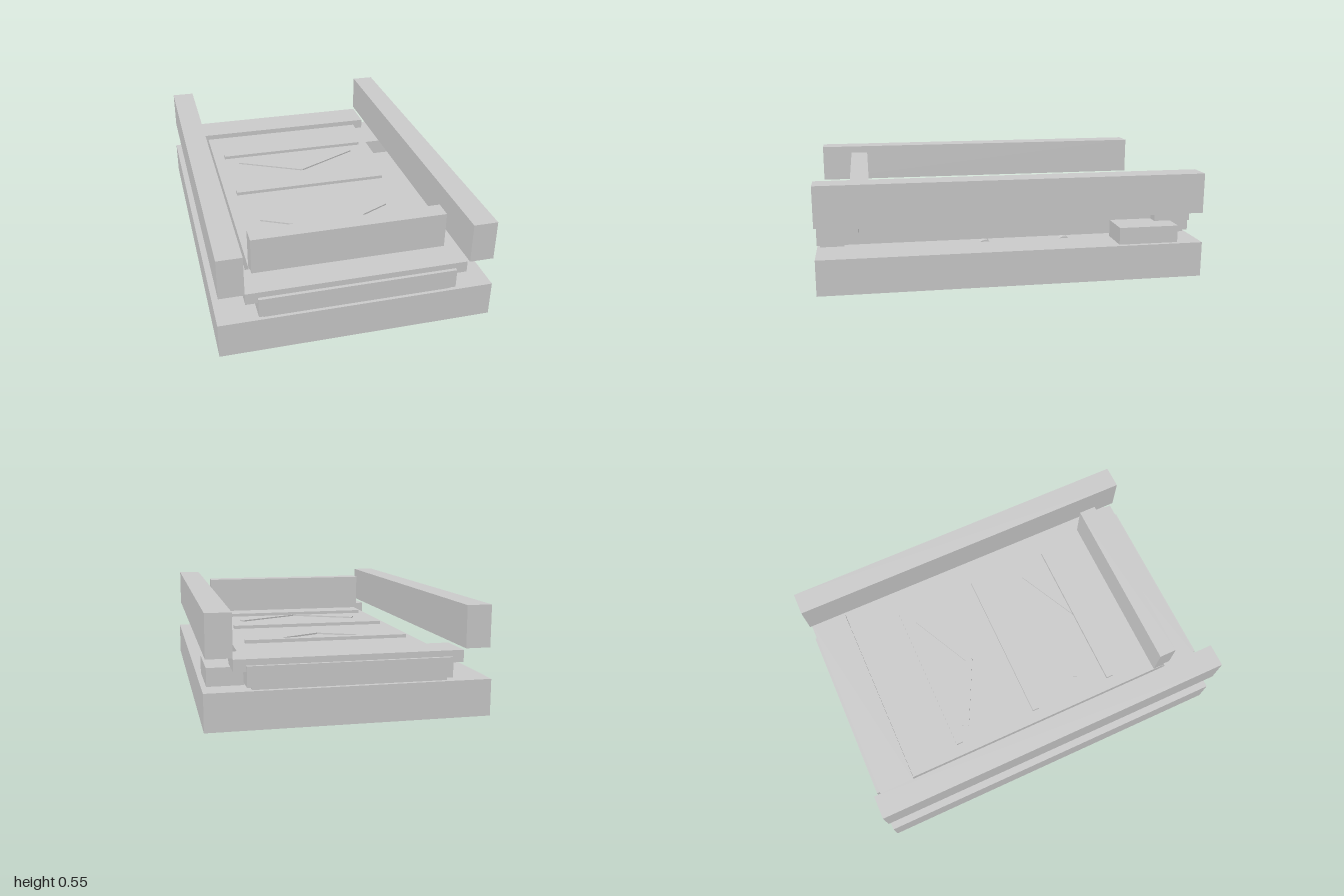
import * as THREE from 'three';

export function createModel() {
  const model = new THREE.Group();
  const material = new THREE.MeshStandardMaterial({ color: 0xcccccc, flatShading: true });

  const add = (name, geometry, x, y, z) => {
    const mesh = new THREE.Mesh(geometry, material);
    mesh.name = name;
    mesh.position.set(x, y, z);
    model.add(mesh);
    return mesh;
  };
  // box given by its limits on each axis
  const box = (name, [x0, x1], [y0, y1], [z0, z1]) =>
    add(name, new THREE.BoxGeometry(x1 - x0, y1 - y0, z1 - z0),
      (x0 + x1) / 2, (y0 + y1) / 2, (z0 + z1) / 2);

  // base slab and conveyor bed
  box('base', [-0.7, 0.7], [0, 0.185], [-1, 1]);
  box('belt', [-0.5, 0.5], [0.202, 0.302], [-1, 1]);

  // raised side rails
  box('leftRail', [0.563, 0.688], [0.342, 0.552], [-1, 1]);
  box('rightRail', [-0.688, -0.563], [0.342, 0.552], [-1, 1]);

  // end caps over the belt, with supports below it
  for (const [end, s] of [['front', 1], ['back', -1]]) {
    const span = (a, b) => [s * a, s * b].sort((p, q) => p - q);
    box(end + 'EndCap', [-0.56, 0.56], [0.272, 0.332], span(0.785, 0.982));
    box(end + 'Support', [-0.475, 0.475], [0.187, 0.203], span(0.862, 0.985));
  }

  // upright stop and side motor housing
  box('frontStop', [-0.5, 0.5], [0.312, 0.522], [0.725, 0.822]);
  box('motorHousing', [0.495, 0.675], [0.184, 0.275], [-0.872, -0.555]);

  // rollers partly sunk into the base
  for (const z of [0.13, -0.3]) {
    add('roller', new THREE.CylinderGeometry(0.036, 0.036, 1, 16), 0, 0.159, z)
      .rotation.z = Math.PI / 2;
  }

  // cross slats on the belt
  for (const z of [-0.475, -0.003, 0.468]) {
    box('slat', [-0.438, 0.438], [0.312, 0.33], [z - 0.019, z + 0.019]);
  }

  // chevron arrows pointing to the front
  for (const z of [-0.315, 0.385]) {
    for (const s of [1, -1]) {
      add('chevronArm', new THREE.BoxGeometry(0.4, 0.008, 0.038), s * 0.175, 0.309, z)
        .rotation.y = s * 0.463;
    }
  }
  return model;
}
